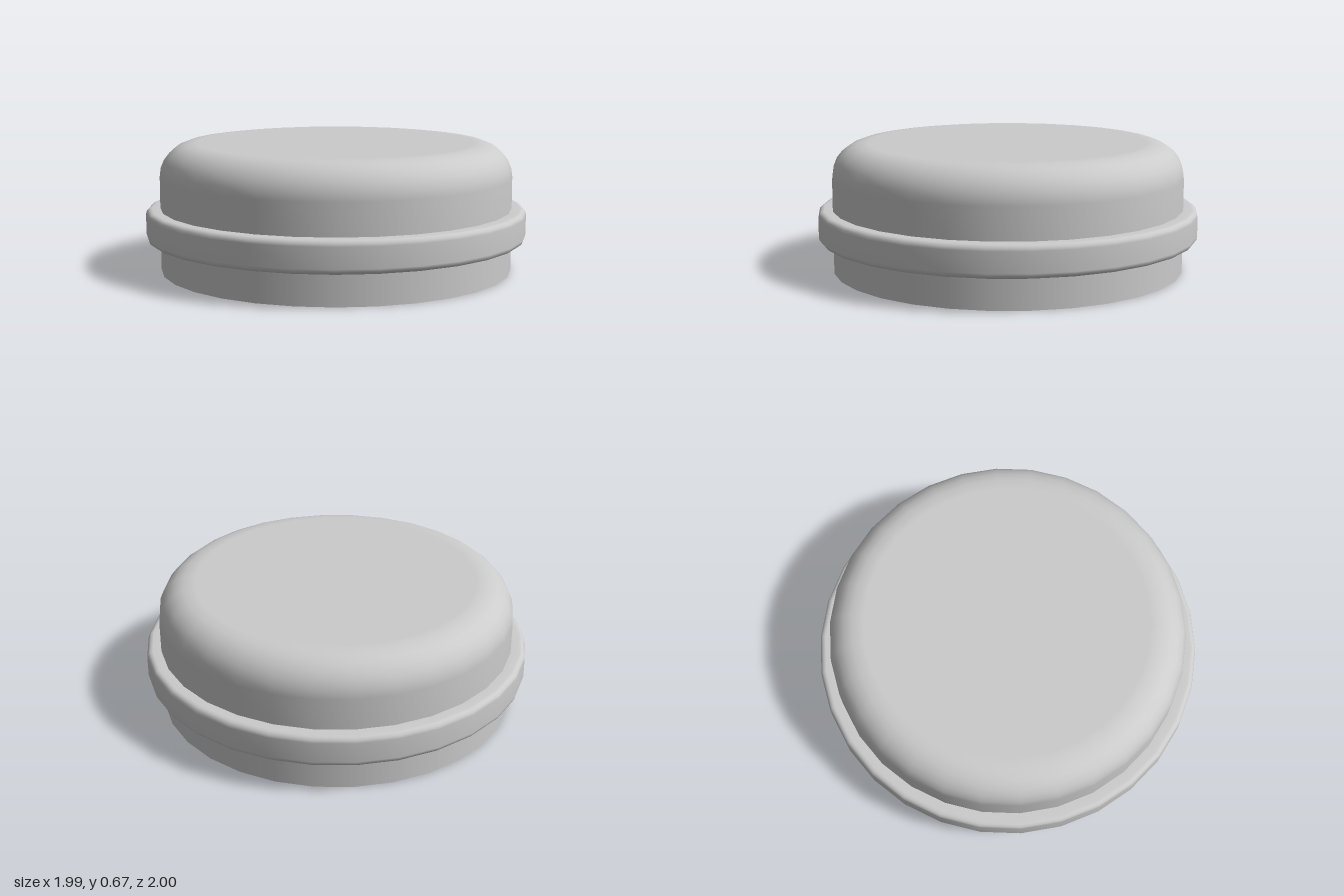
import * as THREE from 'three';

const SIDES = 30;
const WALL = 0.925; // wall radius
const RIM = 1.0; // bead radius
const BEAD_LOW = 0.165, BEAD_HIGH = 0.33, TOP = 0.67;

// Quarter-round corner points around (cx, cy)
function corner(cx, cy, r, startDeg, steps) {
  return Array.from({ length: steps + 1 }, (_, i) => {
    const a = THREE.MathUtils.degToRad(startDeg + (90 * i) / steps);
    return new THREE.Vector2(cx + r * Math.cos(a), cy + r * Math.sin(a));
  });
}

export function createModel() {
  const group = new THREE.Group();
  group.name = 'cap';
  const material = new THREE.MeshStandardMaterial({ color: 0xcccccc, side: THREE.DoubleSide });
  const turn = (name, points) => {
    const mesh = new THREE.Mesh(new THREE.LatheGeometry(points, SIDES), material);
    mesh.name = name;
    group.add(mesh);
  };
  const p = (x, y) => new THREE.Vector2(x, y);

  // Thin open skirt at the bottom
  turn('skirt', [p(WALL, 0), p(WALL, BEAD_LOW)]);

  // Hollow bead pressed outward, open to the inside
  const b = 0.03;
  turn('bead', [
    p(WALL, BEAD_LOW),
    ...corner(RIM - b, BEAD_LOW + b, b, -90, 3),
    ...corner(RIM - b, BEAD_HIGH - b, b, 0, 3),
    p(WALL, BEAD_HIGH),
  ]);

  // Upper wall rounding over into the flat top
  const f = 0.175;
  turn('dome', [
    p(WALL, BEAD_HIGH),
    ...corner(WALL - f, TOP - f, f, 0, 6),
    p(WALL - f - 0.02, TOP),
    p(0, TOP),
  ]);

  return group;
}
